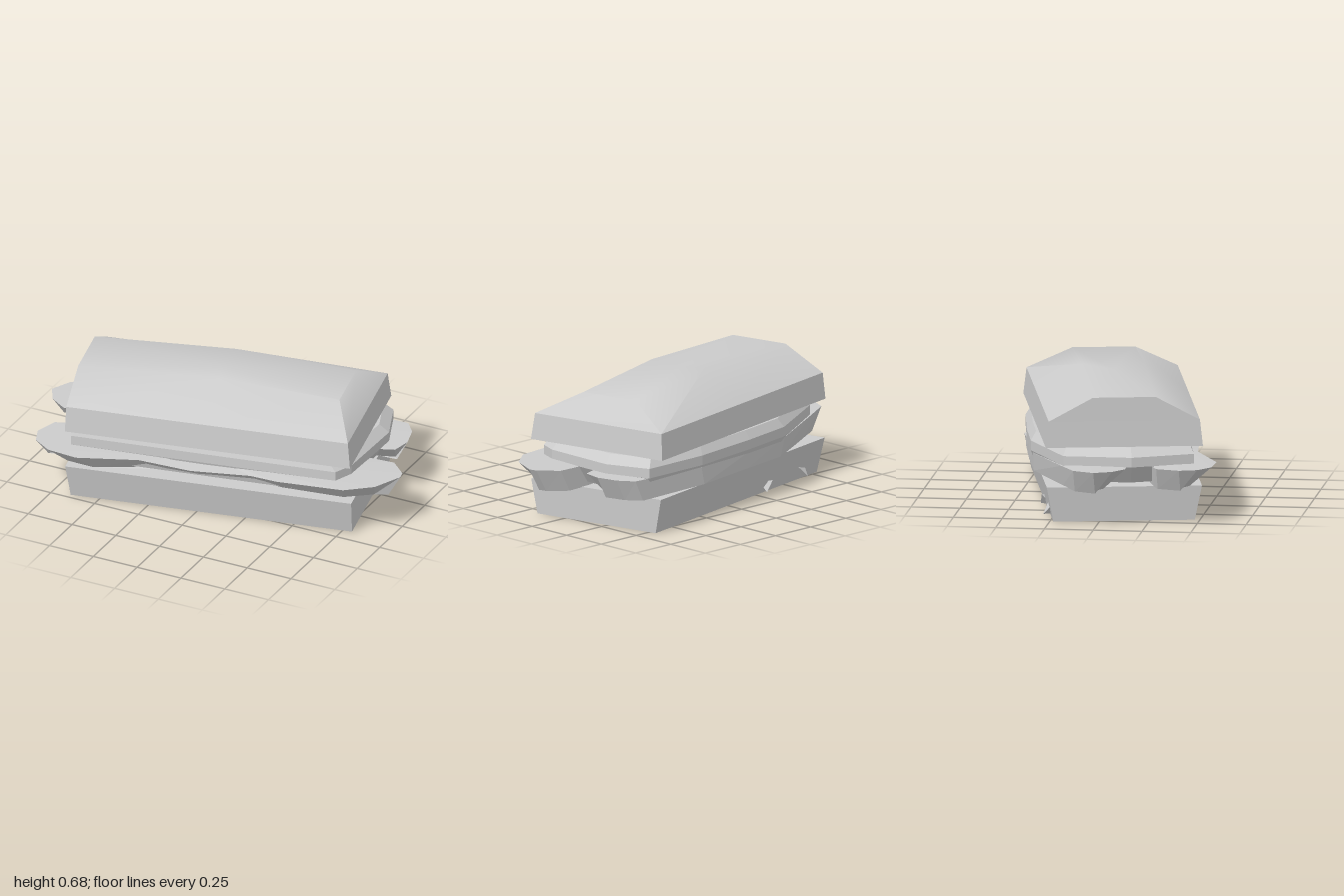
import * as THREE from 'three';
import { toCreasedNormals } from 'three/addons/utils/BufferGeometryUtils.js';

const material = new THREE.MeshStandardMaterial({ color: 0xcccccc, side: THREE.DoubleSide });

// Skin between rings of [x, y, z] points, listed bottom to top, anticlockwise from above.
function loft(rings, { bottom = true, top = true } = {}) {
  const pos = [];
  const tri = (a, b, c) => pos.push(...a, ...b, ...c);
  const n = rings[0].length;
  for (let r = 0; r < rings.length - 1; r++) {
    for (let i = 0; i < n; i++) {
      const j = (i + 1) % n, a = rings[r], b = rings[r + 1];
      tri(a[i], a[j], b[j]);
      tri(a[i], b[j], b[i]);
    }
  }
  const cap = (ring, up) => {
    const mid = [0, 1, 2].map((k) => ring.reduce((s, p) => s + p[k], 0) / n);
    ring.forEach((p, i) => {
      const q = ring[(i + 1) % n];
      up ? tri(mid, p, q) : tri(mid, q, p);
    });
  };
  if (bottom) cap(rings[0], false);
  if (top) cap(rings[rings.length - 1], true);
  const g = new THREE.BufferGeometry();
  g.setAttribute('position', new THREE.Float32BufferAttribute(pos, 3));
  g.computeVertexNormals();
  return g;
}

const rect = (x0, x1, w, y) => [[x1, y, w], [x1, y, -w], [x0, y, -w], [x0, y, w]];

function add(parent, name, geometry) {
  const mesh = new THREE.Mesh(geometry, material);
  mesh.name = name;
  parent.add(mesh);
  return mesh;
}

// Long leaf with a dished top and an underside drawn in along its front edge.
function leaf(outline, frontStart) {
  const top = outline.map(([x, z]) => [x, 0.27 + 0.025 * Math.abs(x), z]);
  const under = outline.map(([x, z], i) => [
    x * 0.93, 0.19 - 0.015 * Math.abs(x), z - (i >= frontStart ? 0.12 : 0),
  ]);
  return loft([under, top]);
}

export function createModel() {
  const model = new THREE.Group();
  model.name = 'sandwich';

  // Both bread halves lie at a slant
  const bread = new THREE.Group();
  bread.name = 'bread';
  bread.rotation.y = 0.209;
  bread.position.set(-0.01, 0, -0.03);
  model.add(bread);

  // Bottom bread: hollow from below, with one cross wall
  add(bread, 'bottomBread', loft([rect(-0.73, 0.75, 0.36, 0), rect(-0.75, 0.755, 0.395, 0.18)], { bottom: false }));
  const wall = add(bread, 'bottomBreadCrossWall', new THREE.PlaneGeometry(0.72, 0.15));
  wall.rotation.y = Math.PI / 2;
  wall.position.set(-0.14, 0.105, 0);

  // Crumbs at the foot of the back wall and under the bread
  const crumb = new THREE.TetrahedronGeometry(0.045);
  [[-0.26, 0.03, -0.36], [-0.58, 0.04, -0.365], [-0.3, 0.16, 0.15], [-0.5, 0.16, 0], [-0.6, 0.15, -0.2]]
    .forEach(([x, y, z], i) => {
      const m = add(bread, 'crumb', crumb);
      m.position.set(x, y, z);
      m.rotation.y = i;
    });

  // Top bread: upright rim and a soft dome, cut straight at the right end
  add(bread, 'topBreadRim', loft([rect(-0.75, 0.75, 0.4, 0.385), rect(-0.747, 0.735, 0.385, 0.52)], { top: false }));
  const domeRing = (x0, x1, w, y, yMid) => [
    [x1, y, w], [x1, y, -w], [0, yMid, -w], [x0, y, -w], [x0, y, w], [0, yMid, w],
  ];
  const dome = loft([domeRing(-0.747, 0.735, 0.385, 0.52, 0.52), domeRing(-0.745, 0.63, 0.16, 0.64, 0.675)], { bottom: false });
  add(bread, 'topBreadDome', toCreasedNormals(dome, 0.95));

  // Filling slab with a drawn-in top edge
  const slab = [
    [0.76, 0.1], [0.77, -0.3], [0.68, -0.525], [0.3, -0.52], [-0.1, -0.46], [-0.4, -0.4],
    [-0.8, -0.18], [-0.8, 0.17], [-0.65, 0.47], [0.72, 0.2],
  ];
  const slabRing = (s, y) => slab.map(([x, z]) => [x * s, y, z * s]);
  add(model, 'filling', loft([slabRing(0.92, 0.2), slabRing(1, 0.29), slabRing(1, 0.34), slabRing(0.94, 0.385)]));

  // Two leaves sticking out at both ends
  add(model, 'frontLeaf', leaf([
    [1, 0.02], [0.99, -0.02], [0.9, -0.105], [0.75, -0.1], [0, 0.05], [-0.76, 0.27], [-0.83, 0.3],
    [-0.865, 0.42], [-0.83, 0.51], [-0.73, 0.57], [-0.57, 0.575], [-0.28, 0.44], [0, 0.41],
    [0.3, 0.33], [0.45, 0.33], [0.8, 0.27], [0.93, 0.17],
  ], 8));
  add(model, 'backLeaf', leaf([
    [0.86, -0.33], [0.83, -0.44], [0.77, -0.515], [0.68, -0.515], [0.3, -0.515], [-0.1, -0.45],
    [-0.42, -0.385], [-0.8, -0.19], [-0.95, -0.11], [-1, 0], [-0.95, 0.09], [-0.86, 0.145],
    [-0.79, 0.14], [0, -0.05], [0.7, -0.18], [0.84, -0.23],
  ], 10));

  return model;
}
